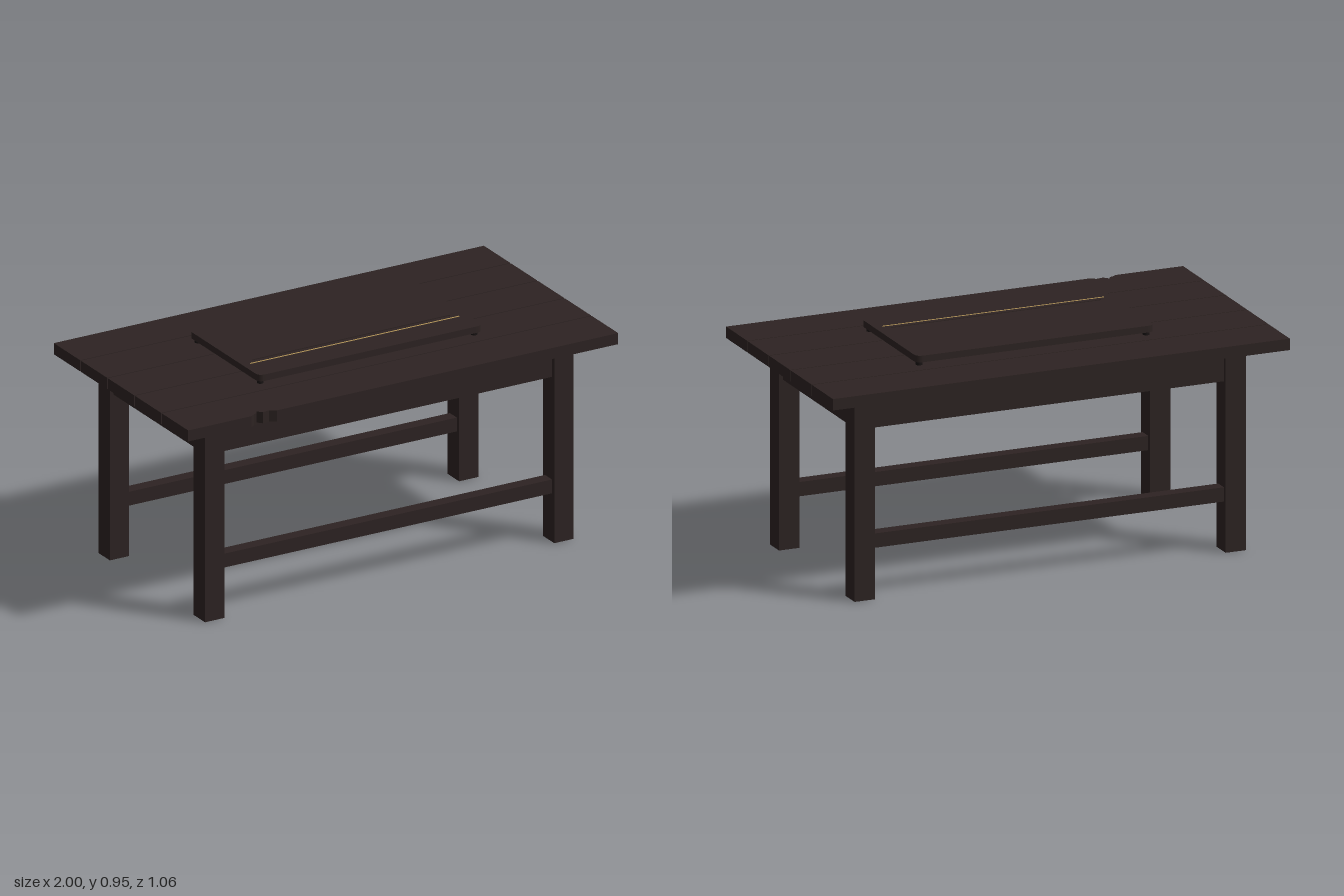
import * as THREE from 'three';

export function createModel() {
  const model = new THREE.Group();
  model.name = 'table';
  const mat = (name, color) => {
    const m = new THREE.MeshStandardMaterial({ color });
    m.name = name;
    return m;
  };
  const wood = mat('dark wood', 0x2d2322);
  const shadowWood = mat('blackened wood', 0x191414);
  const brass = mat('brass', 0xb8985a);

  const add = (name, geometry, material) => {
    const mesh = new THREE.Mesh(geometry, material);
    mesh.name = name;
    model.add(mesh);
    return mesh;
  };
  const box = (name, w, h, d, x, y, z, material = wood) =>
    add(name, new THREE.BoxGeometry(w, h, d), material).position.set(x, y, z);

  // Extrudes an outline drawn in x and -z upward from height y
  const slab = (name, shape, y, height, material) => {
    const g = new THREE.ExtrudeGeometry(shape, { depth: height, bevelEnabled: false, curveSegments: 6 });
    g.rotateX(-Math.PI / 2).translate(0, y, 0);
    return add(name, g, material);
  };

  // Table top: five planks with narrow gaps, the front one chipped
  const pitch = 0.2127, plank = 0.208;
  for (let i = 0; i < 4; i++) {
    box('plank', 2, 0.048, plank, 0, 0.877, (i - 2) * pitch);
  }
  const front = 2 * pitch + plank / 2, back = 2 * pitch - plank / 2;
  const chipped = new THREE.Shape([
    [-1, back], [-1, front], [-0.705, front], [-0.685, 0.516], [-0.675, 0.515],
    [-0.663, 0.498], [-0.645, 0.518], [-0.615, 0.513], [-0.588, front],
    [1, front], [1, back],
  ].map(([x, z]) => new THREE.Vector2(x, -z)));
  slab('chippedPlank', chipped, 0.853, 0.048, wood);

  // Legs
  for (const sx of [-1, 1]) {
    for (const sz of [-1, 1]) {
      box('leg', 0.09, 0.853, 0.091, sx * 0.812, 0.4265, sz * 0.375);
    }
    box('endApron', 0.055, 0.138, 0.66, sx * 0.812, 0.784, 0);
  }

  // Long aprons and stretchers
  for (const sz of [-1, 1]) {
    box('longApron', 1.535, 0.138, 0.055, 0, 0.784, sz * 0.375);
    box('stretcher', 1.535, 0.06, 0.055, 0, 0.24, sz * 0.375);
  }

  // Raised board with rounded corners and a narrow slot
  const w = 0.521, d = 0.275, r = 0.03;
  const board = new THREE.Shape();
  board.moveTo(-w + r, -d);
  board.lineTo(w - r, -d).quadraticCurveTo(w, -d, w, -d + r);
  board.lineTo(w, d - r).quadraticCurveTo(w, d, w - r, d);
  board.lineTo(-w + r, d).quadraticCurveTo(-w, d, -w, d - r);
  board.lineTo(-w, -d + r).quadraticCurveTo(-w, -d, -w + r, -d);
  board.holes.push(new THREE.Path([
    [-0.46, -0.123], [-0.46, -0.115], [0.46, -0.115], [0.46, -0.123],
  ].map(([x, y]) => new THREE.Vector2(x, y))));
  slab('raisedBoard', board, 0.918, 0.028, wood);

  // Plate under the board, brass inlay and small feet
  box('underPlate', 0.934, 0.007, 0.448, 0, 0.911, 0, shadowWood);
  box('brassInlay', 0.972, 0.002, 0.006, 0, 0.9463, 0.148, brass);
  for (const sx of [-1, 1]) {
    for (const sz of [-1, 1]) {
      const foot = add('boardFoot', new THREE.CylinderGeometry(0.014, 0.014, 0.018, 16), shadowWood);
      foot.position.set(sx * 0.497, 0.909, sz * 0.245);
    }
  }
  return model;
}
